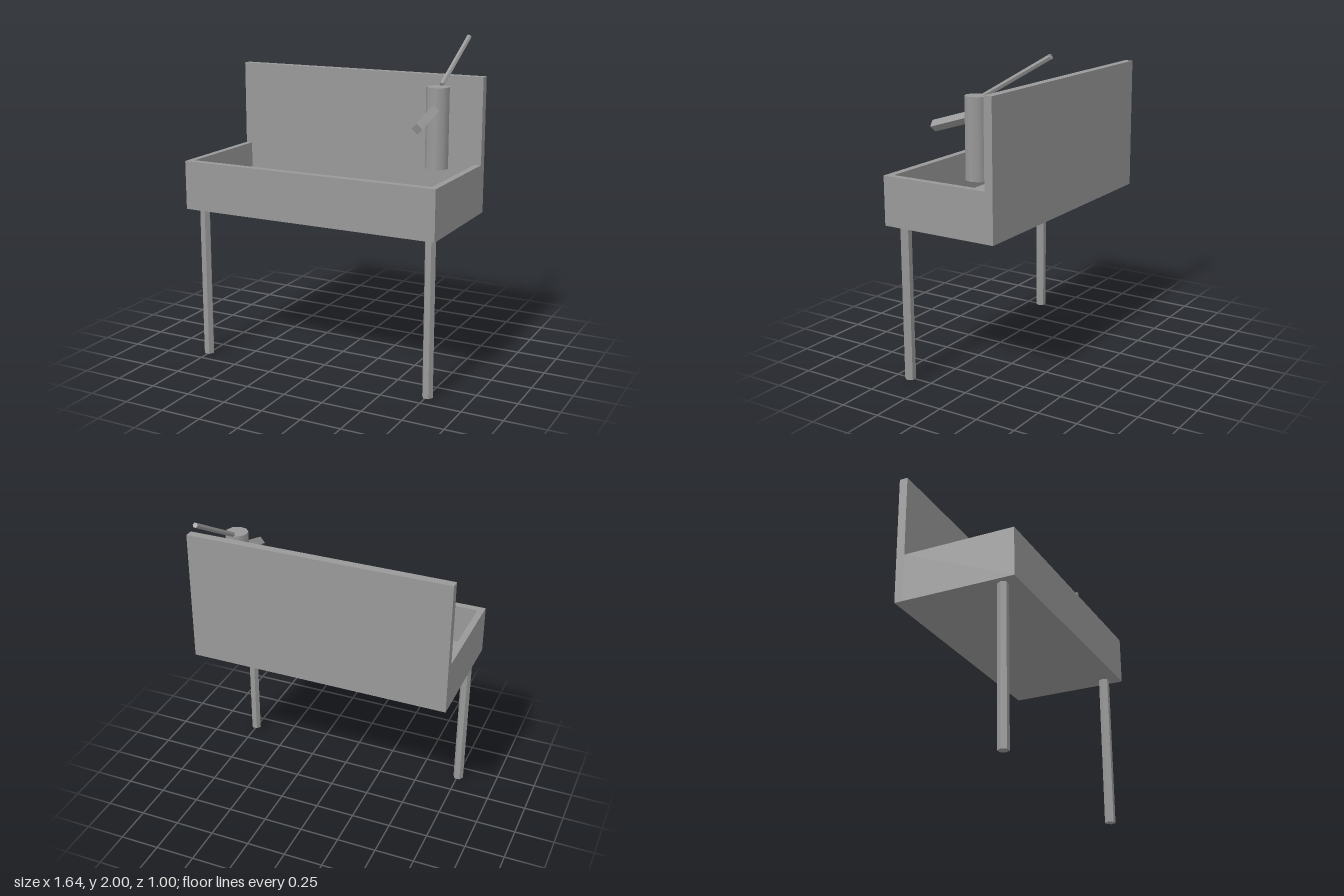
import * as THREE from 'three';

export function createModel() {
  const model = new THREE.Group();
  model.name = 'sinkWithHandPump';
  const grey = new THREE.MeshStandardMaterial({ color: 0x999999 });
  grey.name = 'plain grey';

  function add(name, geometry, x = 0, y = 0, z = 0) {
    const mesh = new THREE.Mesh(geometry, grey);
    mesh.name = name;
    mesh.position.set(x, y, z);
    model.add(mesh);
    return mesh;
  }

  // Prism with a corner on +x; flat facets unless smooth
  function prism(radius, height, sides, smooth = false) {
    const g = new THREE.CylinderGeometry(radius, radius, height, sides).rotateY(Math.PI / 2);
    if (smooth) return g;
    const flat = g.toNonIndexed();
    flat.computeVertexNormals();
    return flat;
  }

  // Prism running between two points in the plane x = const
  function rod(name, radius, sides, x, [y0, z0], [y1, z1]) {
    const mesh = add(name, prism(radius, Math.hypot(y1 - y0, z1 - z0), sides),
      x, (y0 + y1) / 2, (z0 + z1) / 2);
    mesh.rotation.x = Math.atan2(z1 - z0, y1 - y0);
  }

  // Basin: U-shaped wall, closed at the back by the backsplash
  const wall = new THREE.Shape([
    [-0.82, 0.2], [-0.82, -0.5], [0.82, -0.5], [0.82, 0.2],
    [0.78, 0.2], [0.78, -0.455], [-0.78, -0.455], [-0.78, 0.2],
  ].map(([x, y]) => new THREE.Vector2(x, y)));
  const wallGeometry = new THREE.ExtrudeGeometry(wall, { depth: 0.3, bevelEnabled: false });
  add('basinWalls', wallGeometry.rotateX(-Math.PI / 2), 0, 0.96, 0);
  add('basinFloor', new THREE.BoxGeometry(1.56, 0.05, 0.655), 0, 0.985, 0.1275);
  add('backsplash', new THREE.BoxGeometry(1.64, 0.825, 0.053), 0, 1.3725, -0.2265);

  // Front legs
  for (const side of [-1, 1]) {
    add(side > 0 ? 'leftLeg' : 'rightLeg', prism(0.033, 0.96, 6), side * 0.755, 0.48, 0.4);
  }

  // Drain plug
  add('drainPlug', prism(0.053, 0.12, 7), -0.616, 1.07, -0.016);

  // Hand pump: body, spout and handle
  const pumpX = 0.613;
  add('pumpBody', prism(0.07, 0.48, 9, true), pumpX, 1.5, -0.013);
  rod('pumpSpout', 0.034, 4, pumpX, [1.625, 0], [1.538, 0.287]);
  rod('pumpHandle', 0.016, 6, pumpX, [1.745, -0.068], [1.988, -0.492]);

  return model;
}
